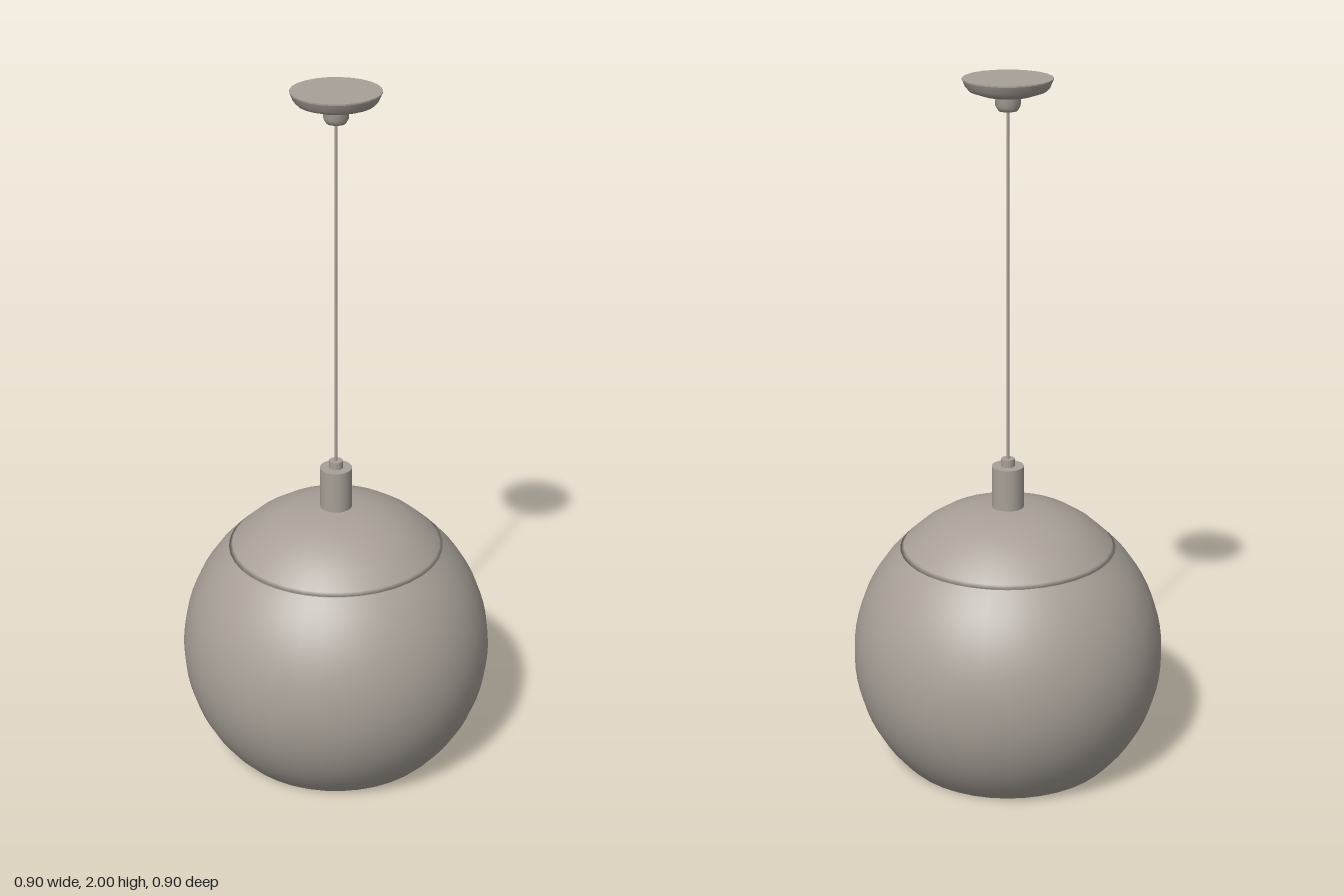
import * as THREE from 'three';

const metal = new THREE.MeshStandardMaterial({ color: 0xa8a098, side: THREE.DoubleSide });
metal.name = 'warm grey';

// Turned part from [radius, height] pairs, listed bottom to top
function turned(name, profile, sides) {
  const points = profile.map(([r, y]) => new THREE.Vector2(r, y));
  const mesh = new THREE.Mesh(new THREE.LatheGeometry(points, sides), metal);
  mesh.name = name;
  return mesh;
}

// Straight round part between two heights
function rod(name, radius, y0, y1, sides) {
  const mesh = new THREE.Mesh(new THREE.CylinderGeometry(radius, radius, y1 - y0, sides), metal);
  mesh.position.y = (y0 + y1) / 2;
  mesh.name = name;
  return mesh;
}

export function createModel() {
  const group = new THREE.Group();
  group.name = 'pendantLamp';

  // Open globe shade, cut off at the bottom and under the cap
  const R = 0.45, cy = 0.322;
  const globe = [];
  for (let i = 0; i <= 20; i++) {
    const a = THREE.MathUtils.lerp(-0.797, 0.81, i / 20);
    globe.push([R * Math.cos(a), cy + R * Math.sin(a)]);
  }
  group.add(turned('shade', globe, 40));

  // Shallow domed cap with a small lip over the shade
  group.add(turned('cap', [
    [0.295, 0.646], [0.307, 0.648], [0.3, 0.658], [0.255, 0.699],
    [0.2, 0.735], [0.14, 0.757], [0.08, 0.77], [0, 0.775],
  ], 36));

  // Lamp holder and cord grip
  group.add(rod('socket', 0.046, 0.765, 0.895, 20));
  group.add(rod('cordGrip', 0.02, 0.89, 0.917, 14));

  // Hanging cord
  group.add(rod('cord', 0.0045, 0.91, 1.93, 8));

  // Ceiling canopy: dish and closed top
  group.add(turned('canopy', [
    [0.036, 1.95], [0.07, 1.955], [0.105, 1.967], [0.115, 1.978], [0.123, 1.998],
  ], 24));
  group.add(rod('canopyTop', 0.123, 1.996, 2, 24));

  // Strain relief under the canopy
  group.add(turned('strainRelief', [
    [0, 1.91], [0.026, 1.912], [0.034, 1.925], [0.036, 1.952],
  ], 16));

  return group;
}
